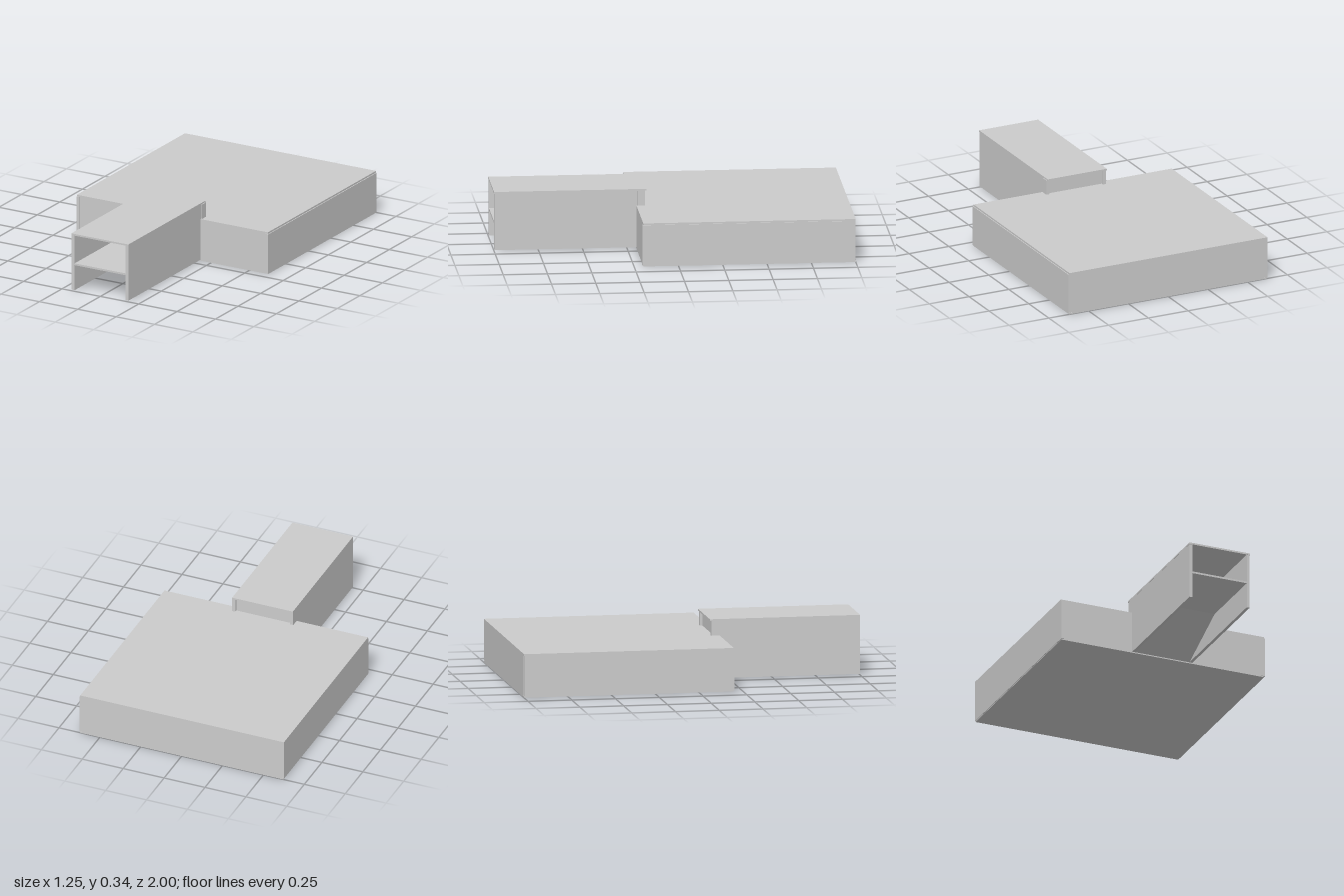
import * as THREE from 'three';

const material = new THREE.MeshStandardMaterial({ color: 0xcccccc, flatShading: true });

export function createModel() {
  const model = new THREE.Group();
  const room = new THREE.Group();
  const corridor = new THREE.Group();
  room.name = 'room';
  corridor.name = 'corridor';
  model.add(room, corridor);

  // Box given by its minimum and maximum along each axis
  function slab(parent, name, [x0, x1], [y0, y1], [z0, z1]) {
    const mesh = new THREE.Mesh(new THREE.BoxGeometry(x1 - x0, y1 - y0, z1 - z0), material);
    mesh.position.set((x0 + x1) / 2, (y0 + y1) / 2, (z0 + z1) / 2);
    mesh.name = name;
    parent.add(mesh);
  }

  // Low hollow room with a doorway in its front wall
  slab(room, 'roomFloor', [-0.622, 0.622], [0, 0.01], [-1, 0.198]);
  slab(room, 'roomRoof', [-0.625, 0.62], [0.238, 0.248], [-1, 0.198]);
  slab(room, 'roomRightWall', [-0.625, -0.607], [0.005, 0.238], [-0.998, 0.203]);
  slab(room, 'roomLeftWall', [0.605, 0.625], [0.005, 0.238], [-0.998, 0.203]);
  slab(room, 'roomBackWall', [-0.607, 0.605], [0.01, 0.238], [-1, -0.98]);
  slab(room, 'roomFrontWallRight', [-0.607, -0.17], [0.01, 0.238], [0.178, 0.198]);
  slab(room, 'roomFrontWallLeft', [0.165, 0.605], [0.01, 0.238], [0.178, 0.198]);

  // Tall corridor, open at the front
  slab(corridor, 'corridorRoof', [-0.189, 0.182], [0.332, 0.342], [0.142, 1]);
  slab(corridor, 'corridorRightWall', [-0.188, -0.169], [0.006, 0.332], [0.19, 0.998]);
  slab(corridor, 'corridorLeftWall', [0.163, 0.181], [0.006, 0.332], [0.19, 0.998]);

  // Closing panel above the room roof, set between two short posts
  slab(corridor, 'endPanel', [-0.169, 0.166], [0.248, 0.332], [0.165, 0.182]);
  slab(corridor, 'rightEndPost', [-0.188, -0.169], [0.24, 0.332], [0.15, 0.19]);
  slab(corridor, 'leftEndPost', [0.166, 0.187], [0.24, 0.334], [0.15, 0.19]);

  // Corridor floor: level at the front, then a ramp down to the room floor
  const profile = new THREE.Shape([
    [-0.998, 0.155], [-0.55, 0.155], [-0.2, 0.006],
    [-0.18, 0.01], [-0.55, 0.166], [-0.998, 0.166],
  ].map(([x, y]) => new THREE.Vector2(x, y)));
  const floorGeometry = new THREE.ExtrudeGeometry(profile, { depth: 0.348, bevelEnabled: false });
  floorGeometry.rotateY(Math.PI / 2);
  floorGeometry.translate(-0.177, 0, 0);
  const floor = new THREE.Mesh(floorGeometry, material);
  floor.name = 'corridorFloorAndRamp';
  corridor.add(floor);

  return model;
}
